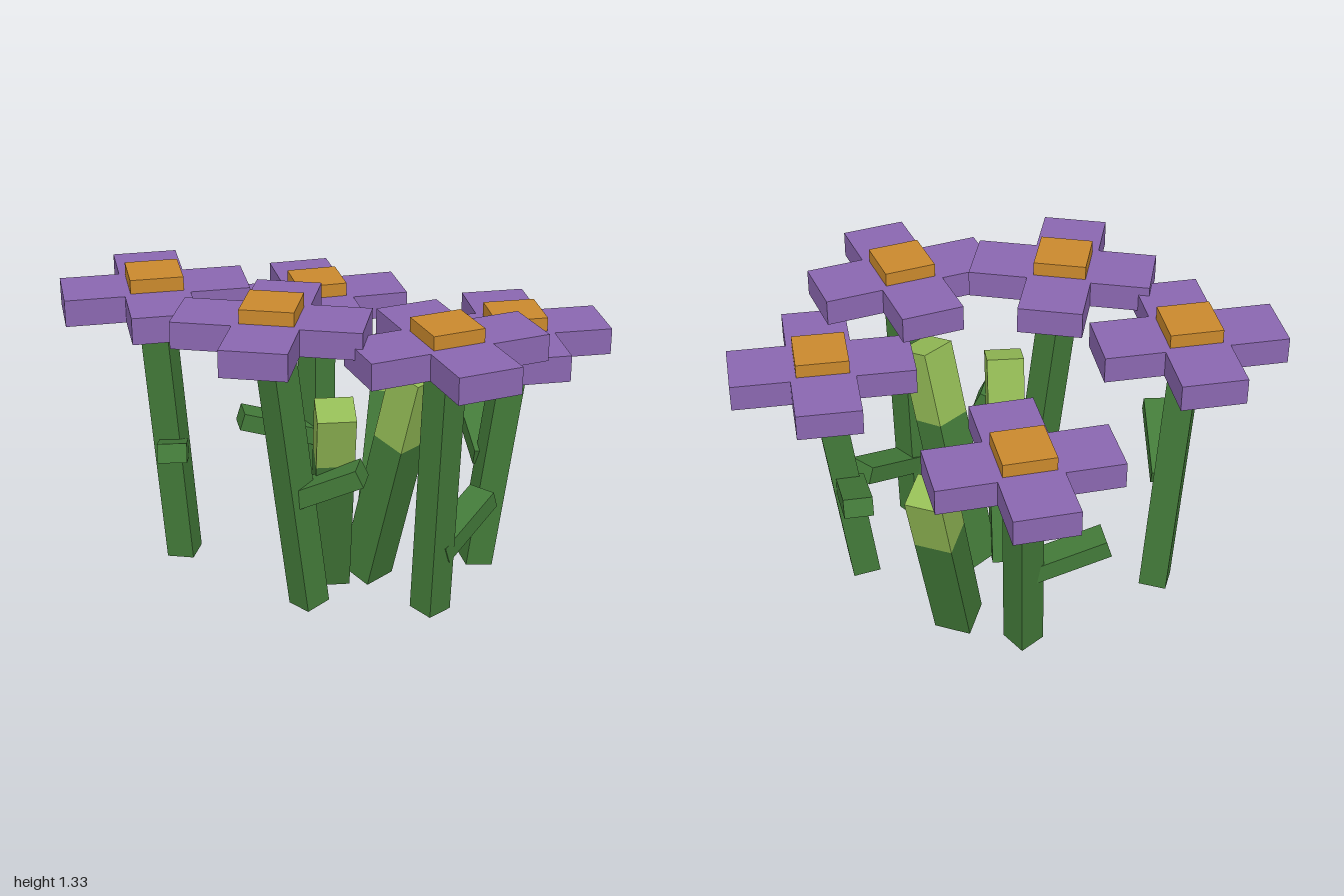
import * as THREE from 'three';

const UP = new THREE.Vector3(0, 1, 0);

function material(name, color) {
  const m = new THREE.MeshStandardMaterial({ color });
  m.name = name;
  return m;
}

// Square-section bar running from point a to point b; by default it is turned to face its lean.
function bar(name, a, b, width, depth, mat, yaw) {
  const p = new THREE.Vector3(...a), q = new THREE.Vector3(...b);
  const dir = q.clone().sub(p);
  const mesh = new THREE.Mesh(new THREE.BoxGeometry(width, dir.length(), depth), mat);
  const turn = yaw ?? Math.atan2(dir.x, dir.z);
  mesh.position.copy(p).add(q).multiplyScalar(0.5);
  mesh.quaternion.setFromUnitVectors(UP, dir.normalize())
    .multiply(new THREE.Quaternion().setFromAxisAngle(UP, turn));
  mesh.name = name;
  return mesh;
}

// Flat cross of four square petals, bottom at y = 0
function petalGeometry(length, width, thickness) {
  const l = length / 2, w = width / 2;
  const pts = [[w, w], [w, l], [-w, l], [-w, w], [-l, w], [-l, -w],
    [-w, -w], [-w, -l], [w, -l], [w, -w], [l, -w], [l, w]];
  const shape = new THREE.Shape(pts.map(([x, y]) => new THREE.Vector2(x, y)));
  return new THREE.ExtrudeGeometry(shape, { depth: thickness, bevelEnabled: false }).rotateX(-Math.PI / 2);
}

export function createModel() {
  const purple = material('petal purple', 0x8a67b0);
  const orange = material('centre orange', 0xca892d);
  const green = material('stem green', 0x437a39);
  const lime = material('bud light green', 0x94bc56);

  const petals = petalGeometry(0.715, 0.252, 0.106);
  const centre = new THREE.BoxGeometry(0.206, 0.168, 0.206);

  // head: x, petal underside y, z; turn of head; stem foot; stem turn; leaf start and tip
  const flowers = [
    { head: [-0.62, 1.133, -0.385], turn: -0.275, foot: [-0.54, 0.035, -0.38], yaw: 0.85,
      leaf: [[-0.58, 0.53, -0.35], [-0.71, 0.665, -0.05]] },
    { head: [0.17, 0.912, -0.55], turn: -0.235, foot: [0.11, 0.035, -0.45], yaw: 0.25,
      leaf: [[0.12, 0.40, -0.47], [-0.19, 0.5, -0.56]] },
    { head: [0.148, 1.106, 0.558], turn: -0.08, foot: [0.138, 0.035, 0.495], yaw: 0.27,
      leaf: [[0.15, 0.29, 0.51], [0.44, 0.41, 0.385]] },
    { head: [-0.397, 1.168, 0.21], turn: -0.635, foot: [-0.265, 0.035, 0.235], yaw: 0.27,
      leaf: [[-0.32, 0.51, 0.22], [-0.11, 0.635, 0.385]] },
    { head: [0.622, 0.972, 0.28], turn: -0.3, foot: [0.5, 0.035, 0.24], yaw: -0.24,
      leaf: [[0.55, 0.49, 0.23], [0.64, 0.615, -0.08]] },
  ];

  const model = new THREE.Group();
  model.name = 'flowerPatch';

  flowers.forEach((f, i) => {
    const flower = new THREE.Group();
    flower.name = `flower${i + 1}`;

    // Head
    const head = new THREE.Group();
    head.name = 'flowerHead';
    head.position.set(...f.head);
    head.rotation.y = f.turn;
    const petalMesh = new THREE.Mesh(petals, purple);
    petalMesh.name = 'petals';
    const centreMesh = new THREE.Mesh(centre, orange);
    centreMesh.name = 'flowerCentre';
    centreMesh.position.y = 0.077;
    head.add(petalMesh, centreMesh);

    // Stem and leaf
    const top = [f.head[0], f.head[1] + 0.03, f.head[2]];
    flower.add(head,
      bar('stem', f.foot, top, 0.112, 0.112, green, f.yaw),
      bar('leaf', f.leaf[0], f.leaf[1], 0.115, 0.075, green));
    model.add(flower);
  });

  // Unopened buds: foot, tip, fraction of the length that is stem
  const buds = [
    [[-0.075, 0.02, 0.04], [-0.17, 0.87, 0.28], 0.74],
    [[0.07, 0.025, 0.095], [0.155, 0.98, 0.33], 0.68],
    [[0.28, 0.02, -0.205], [0.475, 0.845, -0.39], 0.69],
  ];
  buds.forEach(([foot, tip, split], i) => {
    const bud = new THREE.Group();
    bud.name = `bud${i + 1}`;
    const mid = foot.map((v, k) => v + (tip[k] - v) * split);
    bud.add(bar('budStem', foot, mid, 0.15, 0.145, green),
      bar('budTip', mid, tip, 0.15, 0.145, lime));
    model.add(bud);
  });

  return model;
}
